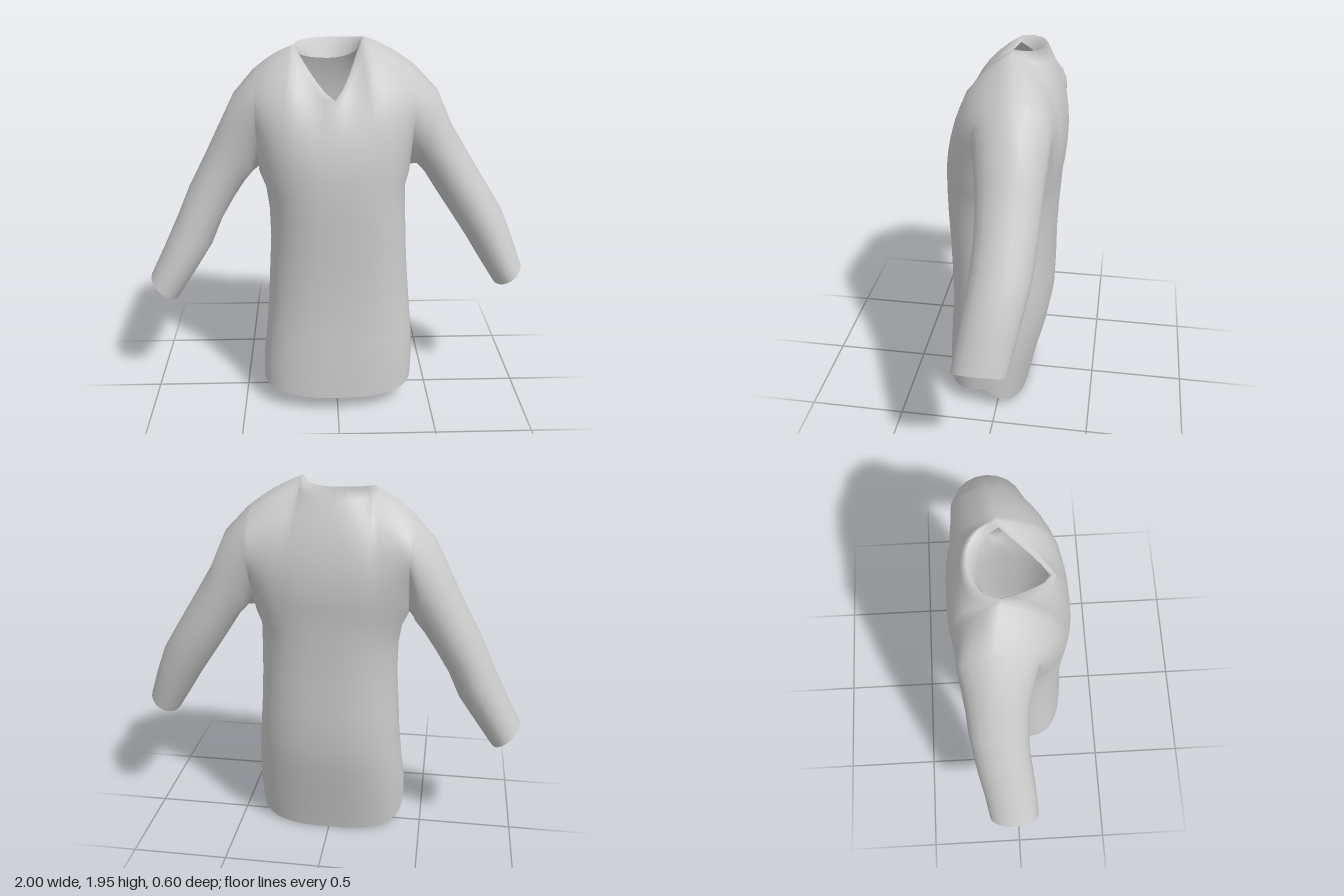
import * as THREE from 'three';

const COLS = 16, NECK = 6 / 16, ROWS = 10; // half columns, share of columns under the neck, yoke rows
const { lerp } = THREE.MathUtils;
const mix = (a, b, t) => a.map((v, i) => lerp(v, b[i], t));

// Body rows from hem to armpit: y, right x, left x, front z, back z, side z
const BODY = [
  [0.00, -0.40, 0.405, 0.30, -0.14, 0.07],
  [0.24, -0.398, 0.41, 0.295, -0.19, 0.06],
  [0.40, -0.38, 0.405, 0.285, -0.23, 0.04],
  [0.57, -0.365, 0.39, 0.275, -0.26, 0.02],
  [0.75, -0.355, 0.375, 0.278, -0.265, 0.01],
  [0.92, -0.345, 0.365, 0.283, -0.265, 0.00],
  [1.08, -0.348, 0.36, 0.292, -0.272, -0.01],
  [1.20, -0.365, 0.356, 0.295, -0.28, -0.03],
  [1.28, -0.40, 0.38, 0.293, -0.285, -0.06],
];

// Neck and shoulder points for each side
const NECK_SIDE = { left: [0.135, 1.945, -0.05], right: [-0.21, 1.905, -0.05] };
const SHOULDER = { left: [0.40, 1.795, -0.09], right: [-0.42, 1.775, -0.09] };
const V_POINT = [-0.01, 1.675, 0.20], NAPE = [-0.04, 1.92, -0.19];

// Sleeve rings: outer x, y, inner x, y, centre z, half depth
const SLEEVE = {
  left: [
    [0.52, 1.67, 0.42, 1.285, -0.085, 0.168],
    [0.60, 1.49, 0.47, 1.23, -0.09, 0.155],
    [0.71, 1.31, 0.54, 1.12, -0.09, 0.148],
    [0.81, 1.15, 0.62, 1.00, -0.08, 0.145],
    [0.89, 1.02, 0.70, 0.88, -0.06, 0.14],
    [0.95, 0.87, 0.78, 0.75, -0.035, 0.135],
    [1.00, 0.73, 0.86, 0.625, -0.01, 0.13],
  ],
  right: [
    [-0.52, 1.66, -0.43, 1.25, -0.085, 0.165],
    [-0.60, 1.50, -0.48, 1.19, -0.09, 0.15],
    [-0.69, 1.32, -0.54, 1.10, -0.09, 0.145],
    [-0.77, 1.17, -0.61, 0.98, -0.08, 0.14],
    [-0.84, 1.01, -0.67, 0.84, -0.065, 0.14],
    [-0.92, 0.84, -0.76, 0.70, -0.045, 0.135],
    [-1.00, 0.68, -0.86, 0.55, -0.03, 0.13],
  ],
};

// Point on a body row; u runs -1..1 from right to left, front or back half
function bodyPoint(row, u, front) {
  const [y, xr, xl, zf, zb, zs] = row, a = Math.abs(u), ang = a * Math.PI / 2;
  const x = (u < 0 ? xr : xl) * Math.sin(ang) ** 0.8;
  const z = lerp(zs, front ? zf : zb, Math.max(0, Math.cos(ang)) ** 0.8);
  const hem = y > 0 ? 0 : front ? 0.085 + 0.05 * a * a : 0.135 * a ** 3;
  return [x, y + hem, z];
}

// Neckline and shoulder seam along the top of the yoke
function topPoint(u, front) {
  const side = u < 0 ? 'right' : 'left', a = Math.abs(u), n = NECK_SIDE[side];
  if (a >= NECK) {
    const t = (a - NECK) / (1 - NECK);
    const p = mix(n, SHOULDER[side], t);
    p[1] += 0.015 * Math.sin(Math.PI * t);
    return p;
  }
  const t = a / NECK;
  if (front) {
    const p = mix(V_POINT, n, t);
    p[0] = lerp(V_POINT[0], n[0], t ** 0.75);
    return p;
  }
  const s = Math.sin(t * Math.PI / 2), c = Math.cos(t * Math.PI / 2);
  return [lerp(NAPE[0], n[0], s), lerp(NAPE[1], n[1], t * t), lerp(n[2], NAPE[2], c)];
}

// Yoke column: a quadratic curve from the armpit row to the top edge
function yokePoint(u, t, front) {
  const a = Math.abs(u), p = bodyPoint(BODY.at(-1), u, front), q = topPoint(u, front);
  const c = [
    (p[0] + q[0]) / 2,
    lerp(p[1], q[1], 0.5 + 0.2 * Math.min(1, a / NECK)),
    front ? 0.285 : lerp(-0.35, -0.45, a * a),
  ];
  return mix(mix(p, c, t), mix(c, q, t), t);
}

// Rolled inner edge of the collar
function lipPoint(u, front) {
  const p = topPoint(u, front), t = Math.abs(u) / NECK;
  const drop = front ? lerp(0.005, 0.03, t) : lerp(0.1, 0.03, t * t);
  return [lerp(p[0], -0.04, 0.1), p[1] - drop, p[2] * (front ? 0.9 : lerp(0.78, 0.9, t))];
}

export function createModel() {
  const positions = [], seen = new Map();
  const parts = { body: [], collar: [], leftSleeve: [], rightSleeve: [] };

  // Welded vertices, so that shading runs smoothly across the seams
  const vertex = (p) => {
    const key = p.map((v) => Math.round(v * 1e4)).join();
    if (!seen.has(key)) {
      seen.set(key, positions.length / 3);
      positions.push(...p);
    }
    return seen.get(key);
  };
  // Skin between successive rows of vertices
  const skin = (out, rows, flip) => {
    for (let j = 0; j + 1 < rows.length; j++) {
      for (let i = 0; i + 1 < rows[j].length; i++) {
        const a = rows[j][i], b = rows[j][i + 1], c = rows[j + 1][i + 1], d = rows[j + 1][i];
        if (flip) out.push(a, c, b, a, d, c);
        else out.push(a, b, c, a, c, d);
      }
    }
  };

  // Front and back panels with the collar edge
  const us = Array.from({ length: 2 * COLS + 1 }, (_, i) => i / COLS - 1);
  const neckUs = us.filter((u) => Math.abs(u) <= NECK + 1e-6);
  for (const front of [true, false]) {
    const rows = BODY.map((r) => us.map((u) => vertex(bodyPoint(r, u, front))));
    for (let j = 1; j <= ROWS; j++) {
      rows.push(us.map((u) => vertex(yokePoint(u, j / ROWS, front))));
    }
    skin(parts.body, rows, !front);
    skin(parts.collar, [
      neckUs.map((u) => vertex(topPoint(u, front))),
      neckUs.map((u) => vertex(lipPoint(u, front))),
    ], !front);
  }

  // Sleeves, each growing from its armhole: armpit, up the front, over, down the back
  for (const side of ['left', 'right']) {
    const u = side === 'left' ? 1 : -1;
    const armhole = [], rings = [];
    for (let k = 0; k <= 2 * ROWS; k++) {
      const front = k <= ROWS;
      armhole.push(vertex(yokePoint(u, (front ? k : 2 * ROWS - k) / ROWS, front)));
    }
    rings.push(armhole);
    for (const [ox, oy, ix, iy, zc, hz] of SLEEVE[side]) {
      rings.push(armhole.map((_, k) => {
        const ang = (k / ROWS) * Math.PI, t = (1 - Math.cos(ang)) / 2;
        return vertex([lerp(ix, ox, t), lerp(iy, oy, t), zc + hz * Math.sin(ang)]);
      }));
    }
    skin(parts[side + 'Sleeve'], rings, side === 'left');
  }

  // Shared positions and normals, one mesh per part
  const whole = new THREE.BufferGeometry();
  whole.setAttribute('position', new THREE.Float32BufferAttribute(positions, 3));
  whole.setIndex(Object.values(parts).flat());
  whole.computeVertexNormals();

  const cloth = new THREE.MeshStandardMaterial({ color: 0xcccccc, side: THREE.DoubleSide });
  const group = new THREE.Group();
  group.name = 'shirt';
  for (const [name, index] of Object.entries(parts)) {
    const geometry = new THREE.BufferGeometry();
    geometry.setAttribute('position', whole.attributes.position);
    geometry.setAttribute('normal', whole.attributes.normal);
    geometry.setIndex(index);
    const mesh = new THREE.Mesh(geometry, cloth);
    mesh.name = name;
    group.add(mesh);
  }
  return group;
}
